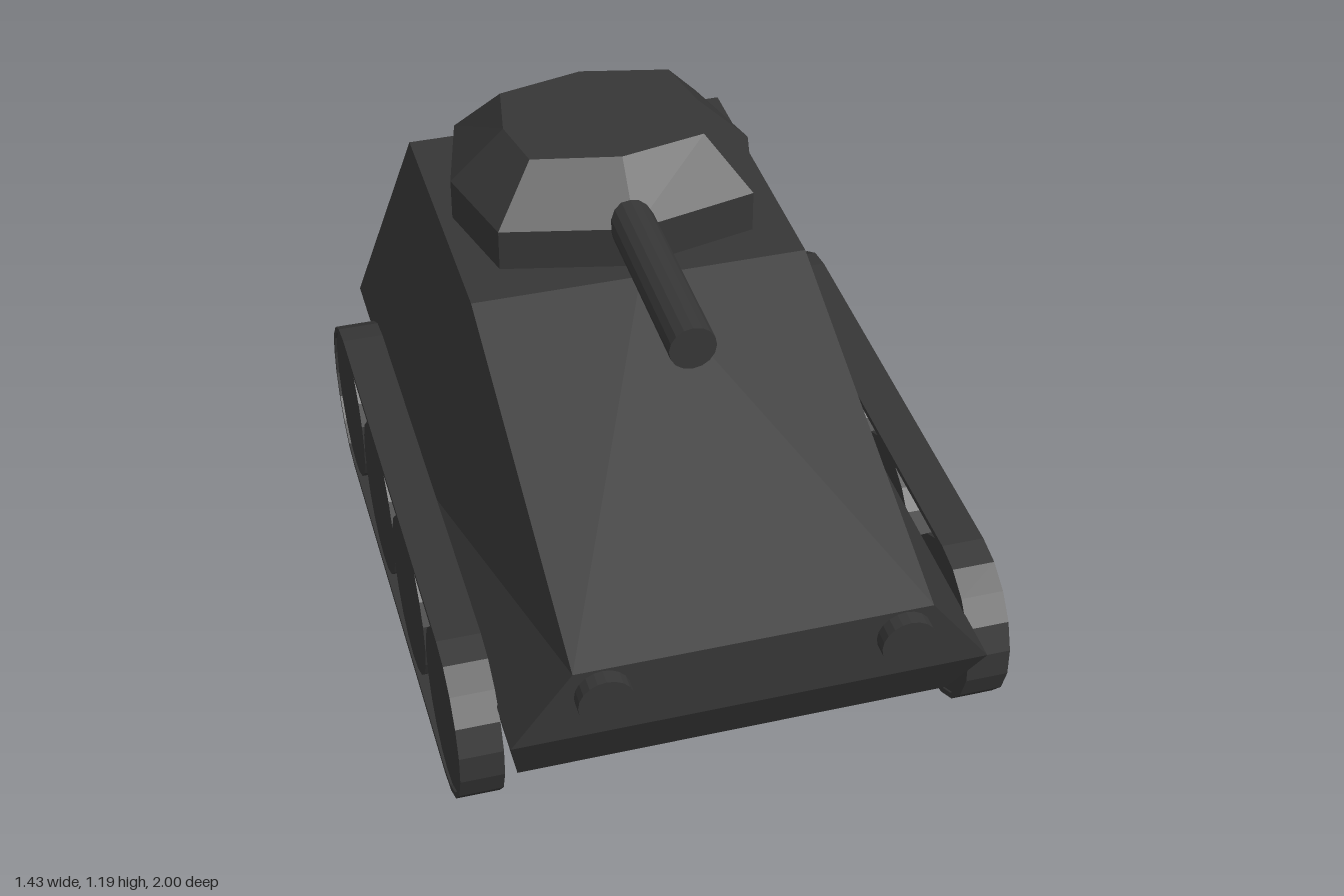
import * as THREE from 'three';

const paint = new THREE.MeshStandardMaterial({ color: 0x363636 });
paint.name = 'dark grey';

const faceted = (geo) => {
  const g = geo.index ? geo.toNonIndexed() : geo;
  g.computeVertexNormals();
  return g;
};

function add(parent, name, geo) {
  const mesh = new THREE.Mesh(geo, paint);
  mesh.name = name;
  parent.add(mesh);
  return mesh;
}

// Flat-shaded surface from quads, each split along its first-to-third corner
function fromQuads(quads) {
  const pos = quads.flatMap(([a, b, c, d]) => [a, b, c, a, c, d].flat());
  const g = new THREE.BufferGeometry();
  g.setAttribute('position', new THREE.Float32BufferAttribute(pos, 3));
  return faceted(g);
}

// Hull: half sections at rear, middle and front, mirrored across x
function hullGeometry() {
  const T = [[0.45, 0.93, -0.87], [0.45, 0.93, -0.07], [0.45, 0.575, 0.96]];
  const M = [[0.605, 0.37, -1], [0.605, 0.37, -0.07], [0.605, 0.37, 0.96]];
  const B = [[0.565, 0.15, -0.84], [0.565, 0.15, -0.07], [0.565, 0.15, 0.83]];
  const c = ([, y, z]) => [0, y, z];
  const half = [];
  for (const i of [0, 1]) {
    const j = i + 1;
    half.push([M[i], T[i], T[j], M[j]], [B[i], M[i], M[j], B[j]]);
    half.push([T[j], T[i], c(T[i]), c(T[j])], [B[i], B[j], c(B[j]), c(B[i])]);
  }
  for (const [lo, hi] of [[M, T], [B, M]]) {
    half.push([lo[2], hi[2], c(hi[2]), c(lo[2])]);
    half.push([c(lo[0]), c(hi[0]), hi[0], lo[0]]);
  }
  // reversed corner order, keeping the same diagonal
  const mirrored = half.map((q) => [q[0], q[3], q[2], q[1]].map(([x, y, z]) => [-x, y, z]));
  return fromQuads([...half, ...mirrored]);
}

// Turret: eight-sided rings stacked upwards, closed on top
function turretGeometry() {
  const ring = (y, pts) => {
    const right = pts.map(([x, z]) => [x, y, z]);
    const left = pts.slice(1, -1).reverse().map(([x, z]) => [-x, y, z]);
    return [...right, ...left];
  };
  const wall = [[0, -0.12], [0.345, -0.2], [0.413, -0.47], [0.345, -0.74], [0, -0.82]];
  const roof = [[0, -0.245], [0.235, -0.295], [0.267, -0.46], [0.235, -0.635], [0, -0.69]];
  const rings = [ring(0.92, wall), ring(1.045, wall), ring(1.19, roof)];
  const quads = [];
  for (let k = 0; k < 2; k++) {
    for (let i = 0; i < 8; i++) {
      const j = (i + 1) % 8;
      quads.push([rings[k][i], rings[k][j], rings[k + 1][j], rings[k + 1][i]]);
    }
  }
  const t = rings[2];
  for (const i of [0, 2, 4]) quads.push([t[0], t[i + 1], t[i + 2], t[(i + 3) % 8]]);
  return fromQuads(quads);
}

// Track belt: hollow stadium loop, extruded sideways
function beltGeometry(width) {
  const loop = (r) => {
    const pts = [];
    for (const side of [1, -1]) {
      for (let i = 0; i <= 9; i++) {
        const a = (i / 9 - 0.5) * Math.PI;
        pts.push(new THREE.Vector2(side * (0.637 + r * Math.cos(a)), 0.228 + side * r * Math.sin(a)));
      }
    }
    return pts;
  };
  const shape = new THREE.Shape(loop(0.228));
  shape.holes.push(new THREE.Path(loop(0.213)));
  const g = new THREE.ExtrudeGeometry(shape, { depth: width, bevelEnabled: false });
  return g.translate(0, 0, -width / 2).rotateY(-Math.PI / 2);
}

export function createModel() {
  const model = new THREE.Group();
  model.name = 'tank';

  add(model, 'hull', hullGeometry());
  add(model, 'turret', turretGeometry());

  // Gun barrel
  const barrel = new THREE.CylinderGeometry(0.061, 0.061, 0.71, 16).rotateX(Math.PI / 2);
  add(model, 'gunBarrel', faceted(barrel)).position.set(0, 1.042, 0.055);

  // Headlights
  const lamp = faceted(new THREE.CylinderGeometry(0.07, 0.07, 0.1, 20).rotateX(Math.PI / 2));
  for (const s of [1, -1]) add(model, 'headlight', lamp).position.set(s * 0.378, 0.5, 0.95);

  // Running gear on each side
  const belt = beltGeometry(0.112);
  const wheel = faceted(new THREE.CylinderGeometry(0.213, 0.213, 0.1, 20).rotateZ(Math.PI / 2));
  for (const s of [1, -1]) {
    const gear = new THREE.Group();
    gear.name = s > 0 ? 'leftTrack' : 'rightTrack';
    gear.position.x = s * 0.658;
    add(gear, 'belt', belt);
    for (const z of [0.645, 0.205, -0.205, -0.645]) add(gear, 'wheel', wheel).position.set(0, 0.228, z);
    model.add(gear);
  }
  return model;
}
